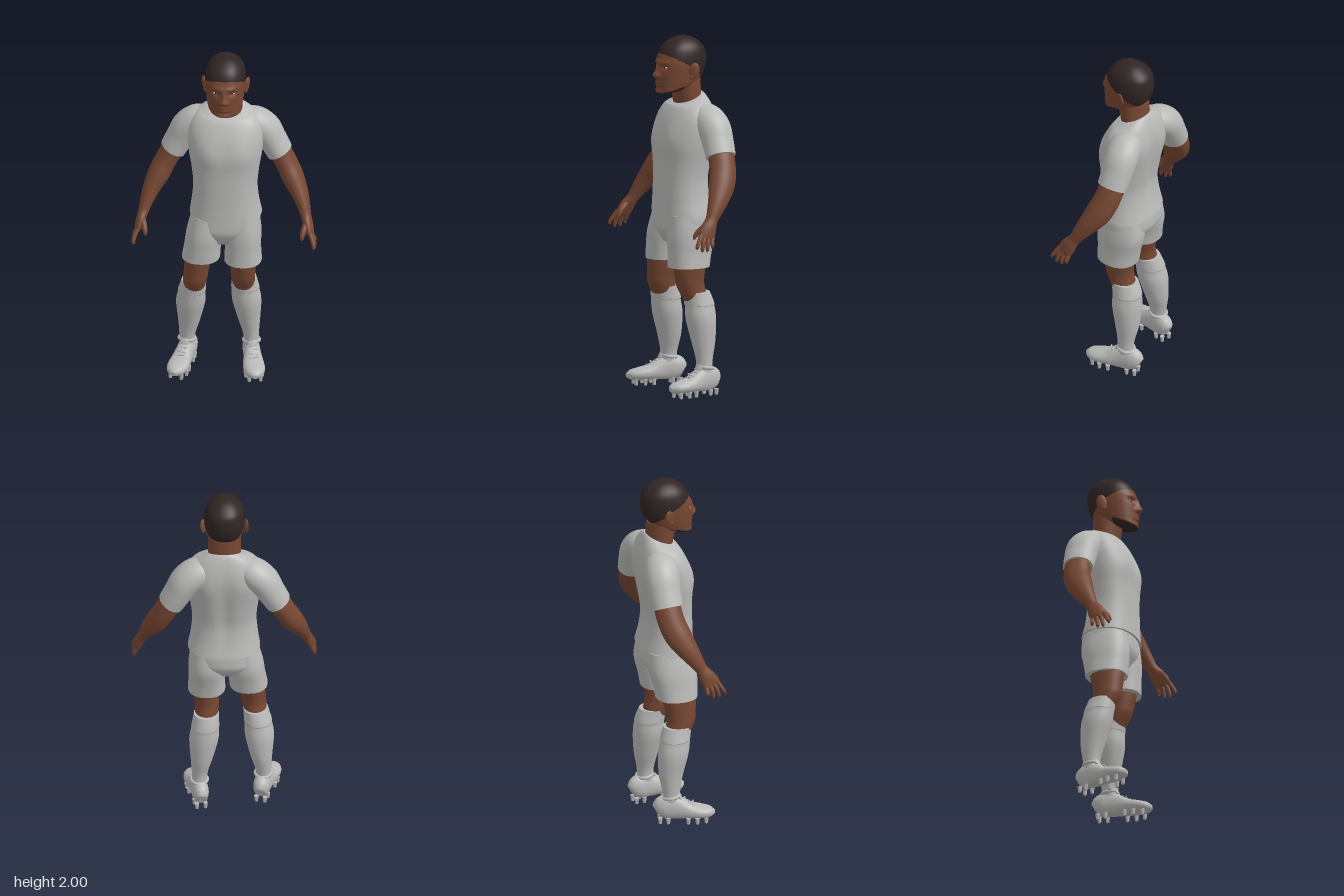
import * as THREE from 'three';

const mat = (name, color) => Object.assign(new THREE.MeshStandardMaterial({ color }), { name });
const bump = (d, w) => Math.exp(-((d / w) ** 2));

// Smooth skin over sections [x, y, z, radiusU, radiusV, tilt].
// flat: rings stay level (U = x, V = z); otherwise they follow the path.
function loft(sections, { flat = false, ref = [0, 0, 1], seg = 28, rows = 0, power = 2, rule = null } = {}) {
  const mid = new THREE.CatmullRomCurve3(sections.map(s => new THREE.Vector3(s[0], s[1], s[2])), false, 'catmullrom');
  const rad = new THREE.CatmullRomCurve3(sections.map(s => new THREE.Vector3(s[3], s[4], s[5] || 0)), false, 'catmullrom');
  const n = rows || (sections.length - 1) * 5, e = 2 / power;
  const pos = [], idx = [];
  const curve = a => Math.sign(a) * Math.abs(a) ** e;
  for (let i = 0; i <= n; i++) {
    const c = mid.getPoint(i / n), r = rad.getPoint(i / n), t = mid.getTangent(i / n);
    if (flat) t.set(0, Math.sign(t.y) || 1, 0);
    const v = new THREE.Vector3(...ref);
    v.addScaledVector(t, -v.dot(t)).normalize();
    const u = t.clone().cross(v);
    for (let j = 0; j < seg; j++) {
      const a = j / seg * Math.PI * 2, q = curve(Math.sin(a)) * r.y;
      const p = c.clone().addScaledVector(u, curve(Math.cos(a)) * r.x).addScaledVector(v, q);
      p.y += r.z * q;
      if (rule) rule(p, c);
      pos.push(p.x, p.y, p.z);
    }
  }
  for (let i = 0; i < n; i++) for (let j = 0; j < seg; j++) {
    const k = (j + 1) % seg, a = i * seg + j, b = i * seg + k;
    idx.push(a, a + seg, b, b, a + seg, b + seg);
  }
  // end caps with their own corners, so rims stay crisp
  for (const row of [0, n]) {
    const base = pos.length / 3, mean = [0, 0, 0];
    for (let j = 0; j < seg; j++) for (let k = 0; k < 3; k++) {
      const value = pos[(row * seg + j) * 3 + k];
      pos.push(value);
      mean[k] += value / seg;
    }
    pos.push(...mean);
    for (let j = 0; j < seg; j++) {
      const a = base + j, b = base + (j + 1) % seg;
      idx.push(base + seg, row ? b : a, row ? a : b);
    }
  }
  const g = new THREE.BufferGeometry();
  g.setAttribute('position', new THREE.Float32BufferAttribute(pos, 3));
  g.setIndex(idx);
  g.computeVertexNormals();
  return g;
}

export function createModel() {
  const model = new THREE.Group();
  model.name = 'footballPlayer';
  const cloth = mat('kit cloth', 0xb9bab8), skin = mat('skin', 0x774732), hair = mat('hair', 0x302524);
  const white = mat('eye white', 0xd0c8c0), dark = mat('iris', 0x1c1412);
  const add = (name, geo, material, parent = model) => {
    const m = new THREE.Mesh(geo, material);
    m.name = name;
    parent.add(m);
    return m;
  };
  const ball = (name, material, p, s, parent = model) => {
    const m = add(name, new THREE.SphereGeometry(1, 20, 14), material, parent);
    m.position.set(...p);
    m.scale.set(...s);
    return m;
  };

  // Shirt body with chest, shoulder blades and spine groove
  add('shirtBody', loft([
    [0.002, 1.015, -0.02, 0.2, 0.152], [0, 1.1, -0.012, 0.186, 0.14], [0, 1.2, -0.008, 0.178, 0.134],
    [0, 1.3, -0.015, 0.187, 0.14], [0, 1.4, -0.022, 0.203, 0.148], [0, 1.5, -0.037, 0.21, 0.142],
    [0, 1.57, -0.05, 0.2, 0.125], [0, 1.62, -0.055, 0.165, 0.105, -0.1],
    [0, 1.645, -0.052, 0.12, 0.09, -0.3], [0, 1.655, -0.05, 0.095, 0.08, -0.4],
  ], {
    flat: true, seg: 56, power: 2.3, rule: (p, c) => {
      const x = Math.abs(p.x), front = p.z > c.z;
      if (front) p.z += 0.01 * bump(x - 0.09, 0.06) * bump(p.y - 1.44, 0.07);
      else p.z += 0.014 * bump(x, 0.035) * bump(p.y - 1.32, 0.22) - 0.01 * bump(x - 0.11, 0.06) * bump(p.y - 1.48, 0.09);
    },
  }), cloth);

  // Shorts
  add('shortsHips', loft([
    [0, 1.06, -0.02, 0.18, 0.135], [0, 0.98, -0.022, 0.192, 0.143], [-0.01, 0.92, -0.02, 0.19, 0.138], [-0.01, 0.85, -0.01, 0.12, 0.09],
  ], { flat: true, seg: 48, power: 2.3 }), cloth);
  const shortsLegs = [
    [[-0.095, 1.01, -0.02, 0.09, 0.125], [-0.112, 0.9, -0.01, 0.102, 0.135], [-0.125, 0.81, 0, 0.102, 0.124], [-0.134, 0.74, 0.005, 0.106, 0.116]],
    [[0.095, 1.01, -0.02, 0.09, 0.125], [0.096, 0.9, -0.022, 0.102, 0.137], [0.097, 0.8, -0.012, 0.1, 0.124], [0.098, 0.72, -0.005, 0.104, 0.116]],
  ];
  shortsLegs.forEach((s, i) => add(i ? 'shortsLegLeft' : 'shortsLegRight', loft(s, { flat: true, seg: 36, power: 2.3 }), cloth));

  // Legs: rows of y, right x, right z, left x, left z, radius x, radius z
  const thigh = [
    [0.84, -0.138, 0.01, 0.1, -0.01, 0.078, 0.1], [0.74, -0.148, 0.015, 0.102, -0.008, 0.074, 0.098],
    [0.65, -0.16, 0.022, 0.098, -0.012, 0.069, 0.084], [0.6, -0.166, 0.02, 0.097, -0.022, 0.067, 0.08], [0.53, -0.176, -0.005, 0.102, -0.05, 0.062, 0.07],
  ];
  const sock = [
    [0.578, -0.173, -0.003, 0.1, -0.05, 0.069, 0.079], [0.54, -0.18, -0.012, 0.103, -0.062, 0.073, 0.083],
    [0.505, -0.186, -0.02, 0.106, -0.07, 0.078, 0.085], [0.495, -0.187, -0.02, 0.107, -0.071, 0.076, 0.084],
    [0.42, -0.194, -0.033, 0.114, -0.075, 0.081, 0.085],
    [0.3, -0.203, -0.05, 0.126, -0.083, 0.062, 0.068], [0.2, -0.214, -0.053, 0.137, -0.083, 0.044, 0.048],
    [0.12, -0.216, -0.05, 0.14, -0.083, 0.042, 0.048],
  ];
  for (const left of [false, true]) {
    const side = left ? 'Left' : 'Right';
    const pick = rows => rows.map(r => [left ? r[3] : r[1], r[0], left ? r[4] : r[2], r[5], r[6]]);
    add('knee' + side, loft(pick(thigh), { flat: true }), skin);
    add('sock' + side, loft(pick(sock), { flat: true }), cloth);

    // Boot: upper with a flat sole, collar, laces and studs
    const boot = new THREE.Group();
    boot.name = 'boot' + side;
    boot.position.set(left ? 0.14 : -0.216, left ? 0 : 0.018, left ? -0.083 : -0.05);
    boot.rotation.y = left ? 0.16 : -0.26;
    model.add(boot);
    add('upper', loft([
      [0, 0.075, -0.09, 0.012, 0.02], [0, 0.08, -0.08, 0.034, 0.048], [0, 0.09, -0.045, 0.046, 0.068],
      [0, 0.09, 0, 0.047, 0.073], [0, 0.08, 0.05, 0.05, 0.062], [0, 0.068, 0.1, 0.057, 0.045],
      [0, 0.06, 0.16, 0.06, 0.036], [0, 0.055, 0.21, 0.045, 0.028], [0, 0.052, 0.238, 0.014, 0.012],
    ], { ref: [0, 1, 0], power: 2.2, rule: p => { p.y = Math.max(p.y, 0.028); } }), cloth, boot);
    const collar = add('collar', new THREE.TorusGeometry(0.044, 0.01, 8, 28), cloth, boot);
    collar.position.set(0, 0.155, -0.004);
    collar.rotation.x = Math.PI / 2 - 0.15;
    const tongue = ball('tongue', cloth, [0, 0.155, 0.042], [0.026, 0.036, 0.012], boot);
    tongue.rotation.x = -0.4;
    for (let i = 0; i < 4; i++) {
      const z = 0.05 + i * 0.023, lace = add('lace', new THREE.CapsuleGeometry(0.005, 0.045, 3, 8), cloth, boot);
      lace.position.set(0, 0.143 - i * 0.0115, z);
      lace.rotation.z = Math.PI / 2 + (i % 2 ? 0.2 : -0.2);
    }
    const studs = [[-0.065, 0.024], [-0.02, 0.03], [0.09, 0.042], [0.14, 0.045], [0.19, 0.032]];
    for (const [z, x] of studs) for (const s of [-1, 1]) {
      const stud = add('stud', new THREE.CylinderGeometry(0.013, 0.009, 0.034, 10), cloth, boot);
      stud.position.set(s * x, 0.017, z);
    }
  }

  // Arms, sleeves and hands
  for (const s of [1, -1]) {
    const side = s > 0 ? 'Left' : 'Right';
    const flip = rows => rows.map(([x, ...r]) => [s * x, ...r]);
    add('sleeve' + side, loft(flip([
      [0.09, 1.565, -0.075, 0.06, 0.07], [0.15, 1.55, -0.09, 0.084, 0.092], [0.212, 1.502, -0.102, 0.087, 0.096],
      [0.255, 1.43, -0.104, 0.079, 0.09], [0.296, 1.355, -0.1, 0.073, 0.086],
    ]), { seg: 32 }), cloth);
    add('arm' + side, loft(flip([
      [0.24, 1.46, -0.105, 0.06, 0.07], [0.295, 1.36, -0.102, 0.062, 0.075], [0.34, 1.275, -0.088, 0.061, 0.076],
      [0.373, 1.21, -0.062, 0.06, 0.075], [0.41, 1.14, -0.022, 0.048, 0.06], [0.436, 1.075, 0.018, 0.036, 0.044],
      [0.45, 1.03, 0.045, 0.029, 0.035], [0.465, 0.99, 0.07, 0.026, 0.045], [0.478, 0.945, 0.092, 0.019, 0.046],
      [0.482, 0.93, 0.098, 0.011, 0.038],
    ])), skin);
    for (let i = 0; i < 4; i++) {
      const k = i - 1.5, drop = 0.008 * k * k;
      add('finger' + side, loft(flip([
        [0.478, 0.952 + 0.006 * k, 0.092 + 0.021 * k, 0.013, 0.0125], [0.494, 0.915 + 0.004 * k, 0.106 + 0.028 * k, 0.0125, 0.012],
        [0.5, 0.88 + drop, 0.113 + 0.032 * k, 0.011, 0.01], [0.496, 0.866 + drop, 0.114 + 0.033 * k, 0.006, 0.005],
      ]), { seg: 12 }), skin);
    }
    add('thumb' + side, loft(flip([
      [0.458, 1.01, 0.075, 0.018, 0.018], [0.443, 0.98, 0.113, 0.017, 0.017],
      [0.435, 0.95, 0.138, 0.013, 0.013], [0.434, 0.93, 0.147, 0.006, 0.006],
    ]), { seg: 12 }), skin);
  }

  // Neck
  add('neck', loft([
    [0, 1.57, -0.06, 0.09, 0.075], [0, 1.66, -0.048, 0.091, 0.078], [0, 1.76, -0.035, 0.092, 0.085],
  ], { flat: true }), skin);

  // Head with modelled nose, brow, eye sockets, lips and chin
  const head = loft([
    [0, 1.695, 0.05, 0.05, 0.06, -0.15], [0, 1.708, 0.04, 0.084, 0.09, -0.2], [0, 1.74, 0.015, 0.099, 0.117, -0.1],
    [0, 1.79, 0, 0.106, 0.135], [0, 1.84, -0.009, 0.111, 0.142], [0, 1.885, -0.015, 0.111, 0.137],
    [0, 1.93, -0.02, 0.102, 0.124], [0, 1.962, -0.02, 0.082, 0.098], [0, 1.986, -0.02, 0.053, 0.062],
    [0, 1.997, -0.02, 0.025, 0.029], [0, 2, -0.02, 0.004, 0.004],
  ], {
    flat: true, seg: 112, rows: 90, power: 2.2, rule: p => {
      if (p.z < 0.04) return;
      const x = Math.abs(p.x), y = p.y;
      p.z += 0.028 * bump(x, 0.018) * bump(y - 1.79, 0.02) + 0.014 * bump(x, 0.013) * bump(y - 1.825, 0.025)
        + 0.014 * bump(x - 0.02, 0.012) * bump(y - 1.782, 0.012)
        + 0.007 * bump(x - 0.035, 0.045) * bump(y - 1.862, 0.012) - 0.012 * bump(x - 0.045, 0.022) * bump(y - 1.834, 0.014)
        + 0.011 * bump(x, 0.032) * (bump(y - 1.75, 0.007) + bump(y - 1.732, 0.008))
        + 0.008 * bump(x, 0.035) * bump(y - 1.695, 0.014);
    },
  });
  // Hairline and jaw beard as face groups
  const faces = [[], []], p = head.attributes.position, ix = head.index.array;
  for (let i = 0; i < ix.length; i += 3) {
    const tri = [ix[i], ix[i + 1], ix[i + 2]];
    const y = tri.reduce((a, k) => a + p.getY(k) / 3, 0), z = tri.reduce((a, k) => a + p.getZ(k) / 3, 0);
    const scalp = y > 1.85 + (z > 0 ? 0.5 : 0.75) * z;
    const beard = z > 0.02 && y < 1.737 - 0.37 * z;
    faces[scalp || beard ? 1 : 0].push(...tri);
  }
  head.setIndex(faces.flat());
  head.addGroup(0, faces[0].length, 0);
  head.addGroup(faces[0].length, faces[1].length, 1);
  add('head', head, [skin, hair]);

  // Ears and eyes
  for (const s of [1, -1]) {
    const ear = ball('ear', skin, [s * 0.119, 1.815, -0.03], [0.011, 0.046, 0.029]);
    ear.rotation.set(-0.15, s * -0.35, s * -0.12);
    ball('earLobe', skin, [s * 0.113, 1.783, -0.018], [0.01, 0.016, 0.014]);
    ball('eye', white, [s * 0.045, 1.834, 0.108], [0.016, 0.0055, 0.009]);
    ball('iris', dark, [s * 0.045, 1.834, 0.115], [0.0055, 0.0052, 0.003]);
  }
  return model;
}
